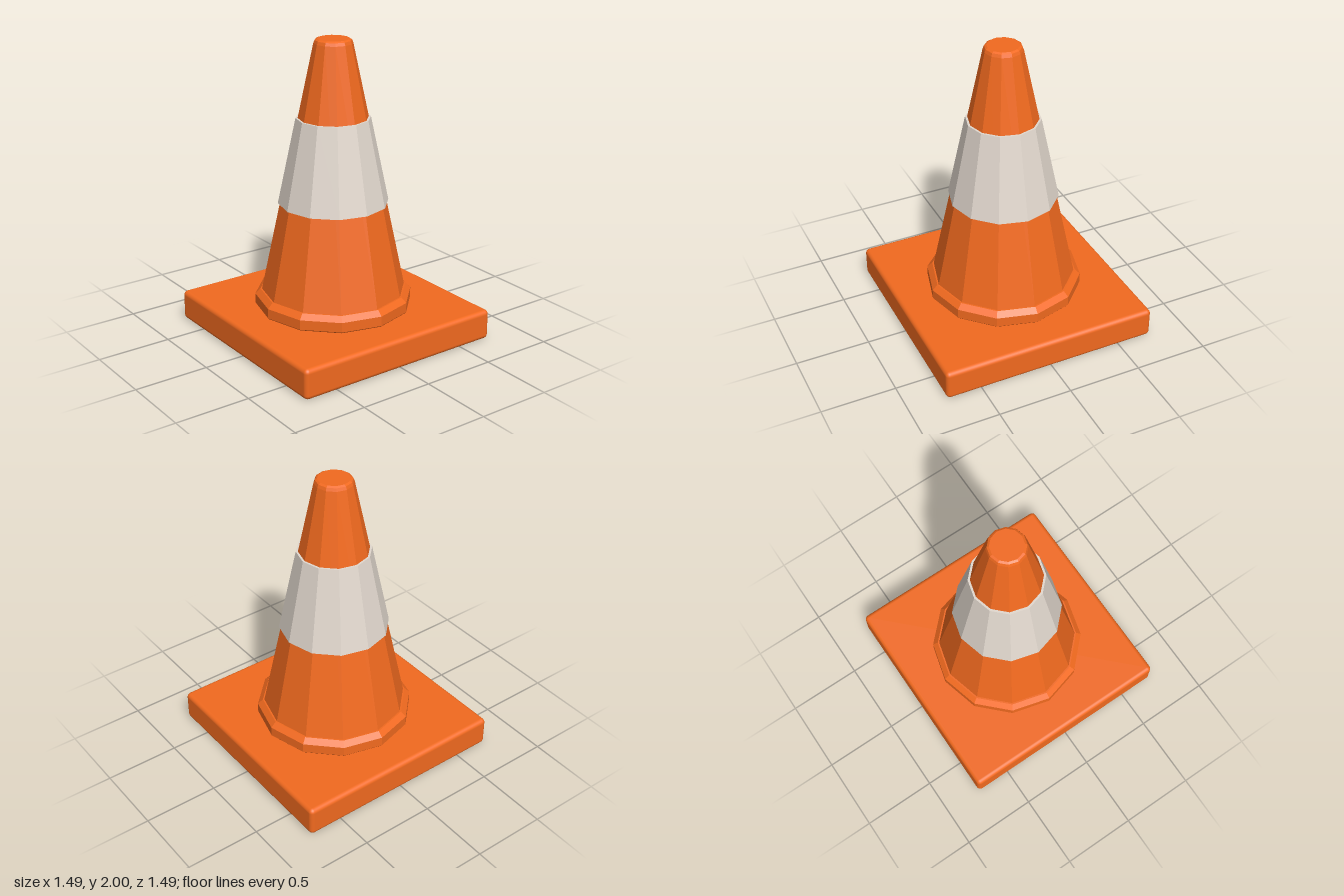
import * as THREE from 'three';
import { RoundedBoxGeometry } from 'three/addons/geometries/RoundedBoxGeometry.js';

const SIDES = 12;

export function createModel() {
  const group = new THREE.Group();
  const orange = new THREE.MeshStandardMaterial({ color: 0xf26a1f, flatShading: true });
  const smoothOrange = new THREE.MeshStandardMaterial({ color: 0xf26a1f });
  const white = new THREE.MeshStandardMaterial({ color: 0xe2d8ce, flatShading: true });

  const add = (name, geometry, material) => {
    const mesh = new THREE.Mesh(geometry, material);
    mesh.name = name;
    group.add(mesh);
    return mesh;
  };
  // Twelve-sided turned part from [radius, height] pairs, bottom to top
  const turned = (points) =>
    new THREE.LatheGeometry(points.map(([r, y]) => new THREE.Vector2(r, y)), SIDES);

  // Square foot with softened edges
  add('base', new RoundedBoxGeometry(1.485, 0.205, 1.485, 3, 0.03), smoothOrange)
    .position.y = 0.1025;

  // Chamfered collar where the cone meets the foot
  add('collar', turned([
    [0, 0.2], [0.515, 0.2], [0.525, 0.212], [0.525, 0.278], [0.49, 0.312], [0, 0.312],
  ]), orange);

  // Tapered body with a bevelled tip
  add('cone', turned([
    [0.48, 0.31], [0.127, 1.972], [0.119, 1.992], [0.105, 2], [0, 2],
  ]), orange);

  // Pale sleeve standing slightly proud of the cone, closed at both lips
  add('band', turned([
    [0.345, 0.915], [0.365, 0.915], [0.244, 1.487], [0.225, 1.487],
  ]), white);

  return group;
}
